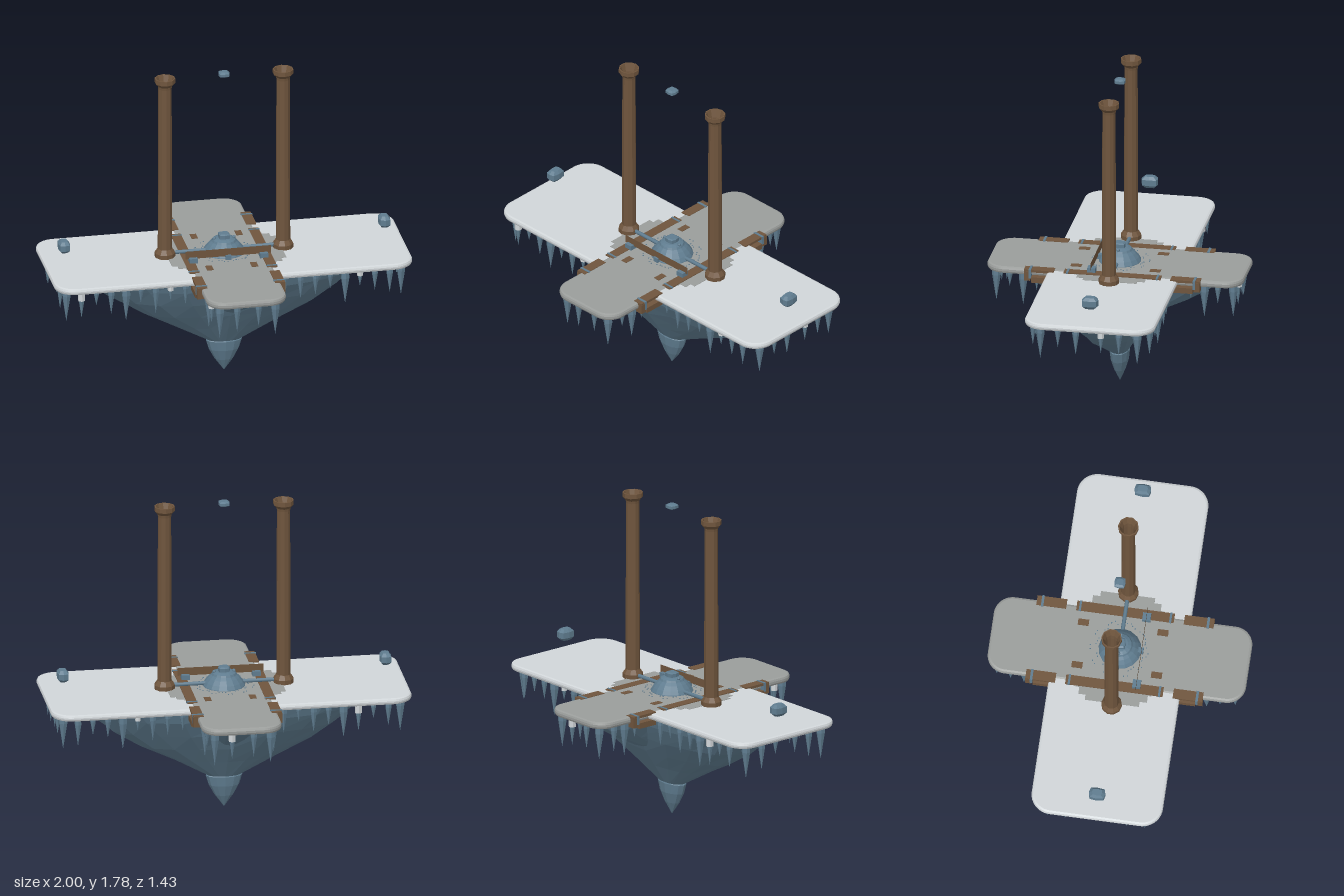
import * as THREE from 'three';

const mat = (name, color) => {
  const m = new THREE.MeshStandardMaterial({ color, side: THREE.DoubleSide });
  m.name = name;
  return m;
};

export function createModel() {
  const root = new THREE.Group();
  root.name = 'floatingPlatform';
  const snow = mat('paleStone', 0xd0d5d8);
  const stone = mat('greyStone', 0x9a9d9b);
  const rock = mat('blueRock', 0x5f7c8f);
  const wood = mat('brownWood', 0x6f553d);

  const add = (name, geo, material, x = 0, y = 0, z = 0) => {
    const mesh = new THREE.Mesh(geo, material);
    mesh.name = name;
    mesh.position.set(x, y, z);
    root.add(mesh);
    return mesh;
  };
  const flat = (geo) => {
    const g = geo.index ? geo.toNonIndexed() : geo;
    g.computeVertexNormals();
    return g;
  };
  const box = (name, w, h, d, m, x, y, z) => add(name, new THREE.BoxGeometry(w, h, d), m, x, y, z);
  const lathe = (points, sides) =>
    flat(new THREE.LatheGeometry(points.map(([x, y]) => new THREE.Vector2(x, y)), sides));

  // Rounded slab with bevelled rim, standing on y = 0
  const slabGeo = (hx, hz, r, h, bevel) => {
    const x = hx - bevel, z = hz - bevel;
    const s = new THREE.Shape();
    s.moveTo(-x + r, -z);
    s.lineTo(x - r, -z);
    s.absarc(x - r, -z + r, r, -Math.PI / 2, 0);
    s.absarc(x - r, z - r, r, 0, Math.PI / 2);
    s.absarc(-x + r, z - r, r, Math.PI / 2, Math.PI);
    s.absarc(-x + r, -z + r, r, Math.PI, Math.PI * 1.5);
    const g = new THREE.ExtrudeGeometry(s, {
      depth: h - 2 * bevel, bevelEnabled: true, bevelSize: bevel,
      bevelThickness: bevel, bevelSegments: 2, curveSegments: 6,
    });
    g.rotateX(-Math.PI / 2);
    return g.translate(0, bevel, 0);
  };

  // Faceted solid through rings [y, rx, rz], listed from the top; a power below 1 squares them
  const loft = (rings, sides, rough, power) => {
    const g = new THREE.CylinderGeometry(1, 1, 1, sides, rings.length - 1);
    const p = g.attributes.position;
    const square = (v) => Math.sign(v) * Math.abs(v) ** power;
    for (let i = 0; i < p.count; i++) {
      const k = Math.round((0.5 - p.getY(i)) * (rings.length - 1));
      const [y, rx, rz] = rings[k];
      const inner = k > 0 && k < rings.length - 1;
      const a = p.getX(i), b = p.getZ(i);
      const w = inner ? 1 + rough * Math.sin(a * 9 + b * 13 + k * 5) : 1;
      p.setXYZ(i, square(a) * rx * w, y, square(b) * rz * w);
    }
    return flat(g);
  };

  // Crossed slabs
  add('mainSlab', slabGeo(1, 0.363, 0.1, 0.036, 0.014), snow, 0, 0.67, 0);
  add('crossSlab', slabGeo(0.222, 0.715, 0.09, 0.04, 0.014), stone, 0, 0.67, 0);

  // Worn patch with stepped corners around the middle
  for (const [w, d] of [[0.64, 0.3], [0.58, 0.38], [0.5, 0.42]])
    box('wornPatch', w, 0.003, d, stone, 0, 0.7065, 0);

  // Hanging rock
  add('mainRock', loft([[0.675, 0.85, 0.335], [0.6, 0.765, 0.305], [0.5, 0.645, 0.25],
    [0.4, 0.49, 0.188], [0.3, 0.295, 0.122], [0.19, 0.095, 0.052]], 20, 0.02, 0.92), rock);
  add('crossRock', loft([[0.675, 0.19, 0.61], [0.6, 0.155, 0.54], [0.52, 0.115, 0.4],
    [0.45, 0.08, 0.26], [0.415, 0.045, 0.17]], 16, 0.02, 0.85), rock);
  add('rockTip', loft([[0.21, 0.07, 0.045], [0.185, 0.102, 0.056], [0.13, 0.085, 0.05],
    [0.07, 0.053, 0.032], [0, 0.001, 0.001]], 12, 0, 1), rock);

  // Icicles around the rims
  const spike = lathe([[0, -1], [0.5, -0.58], [0.95, -0.2], [0.9, 0]], 6);
  const stub = flat(new THREE.CylinderGeometry(1, 1.02, 1, 6).translate(0, -0.5, 0));
  let n = 0;
  const icicle = (x, z, large) => {
    n++;
    const len = large ? 0.19 : 0.085 + 0.075 * (0.5 + 0.5 * Math.sin(n * 2.4));
    const r = large ? 0.026 : 0.011 + len * 0.06;
    add('icicle', spike, rock, x, 0.675, z).scale.set(r, len, r);
    if (n % 6 === 0) add('icicleRoot', stub, snow, x, 0.672, z).scale.set(r, len * 0.3, r);
  };
  for (const sx of [-1, 1]) for (const sz of [-1, 1]) {
    for (let i = 0; i < 8; i++) icicle(sx * (0.28 + i * 0.083), sz * 0.325, i === 4);
    icicle(sx * 0.935, sz * 0.27, true);
    for (const z of [0.07, 0.17]) icicle(sx * 0.95, sz * z, false);
    for (let i = 0; i < 3; i++) icicle(sx * 0.185, sz * (0.43 + i * 0.075), i === 1);
    icicle(sx * 0.155, sz * 0.66, true);
    icicle(sx * 0.06, sz * 0.67, false);
  }

  // Hollow pillars with flared base and funnel cap
  const pillar = lathe([
    [0.034, 0], [0.057, 0], [0.057, 0.025], [0.04, 0.05], [0.037, 1.005], [0.039, 1.02],
    [0.057, 1.04], [0.057, 1.065], [0.05, 1.065], [0.035, 1.02], [0.032, 0.98], [0.032, 0],
  ], 10);

  for (const sx of [-1, 1]) {
    add('pillar', pillar, wood, sx * 0.33, 0.705, 0);
    const rod = add('rod', new THREE.CylinderGeometry(0.011, 0.011, 0.26, 8), rock, sx * 0.21, 0.724, 0);
    rod.rotation.z = Math.PI / 2;

    // Planks along the joint, with bands
    box('jointPlank', 0.056, 0.012, 0.54, wood, sx * 0.217, 0.706, 0);
    box('beamFoot', 0.045, 0.035, 0.045, rock, sx * 0.197, 0.72, 0.12);
    for (const sz of [-1, 1]) {
      box('plankBand', 0.062, 0.016, 0.012, rock, sx * 0.217, 0.706, sz * 0.25);
      box('smallPlate', 0.036, 0.006, 0.06, wood, sx * 0.125, 0.71, sz * 0.22);
      // Edge clamps hooked under the cross slab
      box('clampTop', 0.056, 0.014, 0.165, wood, sx * 0.217, 0.706, sz * 0.408);
      box('clampSide', 0.05, 0.032, 0.12, wood, sx * 0.225, 0.656, sz * 0.39);
      box('clampHook', 0.06, 0.055, 0.035, wood, sx * 0.217, 0.677, sz * 0.473);
      box('clampBand', 0.064, 0.05, 0.014, rock, sx * 0.217, 0.69, sz * 0.458);
    }
  }

  // Paper-thin upright beam in front of the dome
  add('beam', new THREE.PlaneGeometry(0.476, 0.045), wood, 0, 0.752, 0.12);

  // Stepped dome with a square knob
  add('dome', lathe([
    [0.12, 0], [0.117, 0.01], [0.105, 0.03], [0.086, 0.053], [0.07, 0.067],
    [0.064, 0.078], [0.045, 0.086], [0, 0.089],
  ], 16), rock, 0, 0.704, 0);
  const knob = loft([[0.5, 0.75, 0.75], [0.3, 1, 1], [-0.5, 1, 1]], 8, 0, 0.5);
  add('domeKnob', knob, rock, 0, 0.803, 0).scale.set(0.032, 0.026, 0.032);
  box('domeSpout', 0.03, 0.03, 0.05, rock, 0, 0.722, 0.105);
  for (const sx of [-1, 1])
    add('domeBolt', new THREE.SphereGeometry(0.01, 8, 6), rock, sx * 0.055, 0.788, 0);

  // Chips scattered around the dome
  for (let i = 0; i < 48; i++) {
    const a = i * 2.4, r = 0.13 + 0.035 * (0.5 + 0.5 * Math.sin(i * 5.1));
    box('chip', 0.006, 0.003, 0.006, rock, Math.cos(a) * r, 0.711, Math.sin(a) * r);
  }

  // Floating stones
  const pebble = loft([[0.5, 0.6, 0.6], [0.25, 1, 1], [-0.25, 1, 1], [-0.5, 0.6, 0.6]], 8, 0, 0.5);
  for (const [x, y, sx, sy, sz] of [[0, 1.768, 0.031, 0.03, 0.031],
    [0.895, 0.815, 0.032, 0.066, 0.046], [-0.895, 0.815, 0.032, 0.066, 0.046]])
    add('floatingStone', pebble, rock, x, y, 0).scale.set(sx, sy, sz);

  return root;
}
